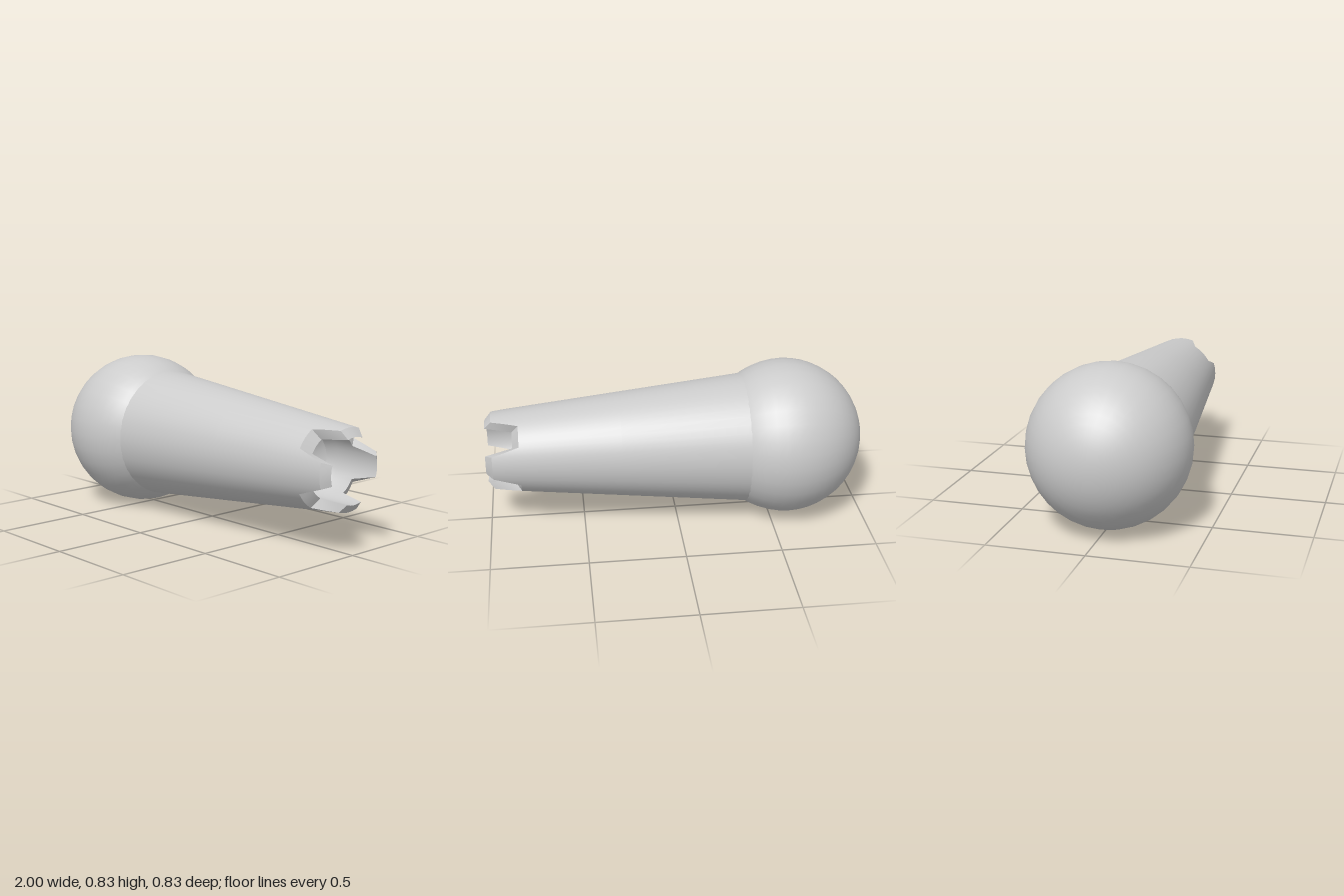
import * as THREE from 'three';
import { toCreasedNormals } from 'three/addons/utils/BufferGeometryUtils.js';

const AXIS_Y = 0.413;      // height of the long axis
const BALL_R = 0.413;
const BALL_X = -0.587;
const BORE_R = 0.165;

// Outer radius of the tapered shaft at x
const shaftRadius = (x) => THREE.MathUtils.mapLinear(x, -0.36, 0.96, 0.343, 0.208);

// End of the shaft around the rim: four tapering teeth with notches between
function rimX(deg) {
  const fromTooth = Math.abs(((deg + 45) % 90) - 45);
  const t = THREE.MathUtils.clamp((fromTooth - 18) / 12, 0, 1);
  return THREE.MathUtils.lerp(1.0, 0.86, t);
}

// Cross-section rows from the ball, over the bevelled rim, into the bore
function profile(deg) {
  const rim = rimX(deg);
  const edge = rim - 0.035;
  return [
    [-0.38, shaftRadius(-0.36)],
    [-0.36, shaftRadius(-0.36)],
    [0.3, shaftRadius(0.3)],
    [edge, shaftRadius(edge)],
    [rim, BORE_R],
    [0.75, BORE_R],
    [0.69, 0.145],
    [0.65, 0.09],
    [0.635, 0],
  ];
}

function shaftGeometry() {
  const quarter = [-18, -9, 0, 9, 18, 24, 30, 37.5, 45, 52.5, 60, 66];
  const angles = [0, 90, 180, 270].flatMap((q) => quarter.map((a) => (q + a + 360) % 360));
  const n = angles.length;
  const positions = [];
  const index = [];
  const columns = angles.map(profile);
  const rows = columns[0].length;

  for (let i = 0; i < rows; i++) {
    for (let j = 0; j < n; j++) {
      const [x, r] = columns[j][i];
      const a = THREE.MathUtils.degToRad(angles[j]);
      positions.push(x, r * Math.cos(a), r * Math.sin(a));
    }
  }
  for (let i = 0; i < rows - 1; i++) {
    for (let j = 0; j < n; j++) {
      const k = (j + 1) % n;
      const a = i * n + j, b = i * n + k, c = a + n, d = b + n;
      index.push(a, b, c);
      if (i < rows - 2) index.push(b, d, c);
    }
  }
  const geometry = new THREE.BufferGeometry();
  geometry.setAttribute('position', new THREE.Float32BufferAttribute(positions, 3));
  geometry.setIndex(index);
  return toCreasedNormals(geometry, THREE.MathUtils.degToRad(35));
}

export function createModel() {
  const group = new THREE.Group();
  group.name = 'ballEndedSocket';
  const material = new THREE.MeshStandardMaterial({ color: 0xcccccc });

  // Round end, poles along the long axis
  const ball = new THREE.Mesh(new THREE.SphereGeometry(BALL_R, 32, 24), material);
  ball.name = 'ball';
  ball.rotation.z = Math.PI / 2;
  ball.position.set(BALL_X, AXIS_Y, 0);

  // Tapered shaft with toothed, hollow tip
  const shaft = new THREE.Mesh(shaftGeometry(), material);
  shaft.name = 'toothedShaft';
  shaft.position.y = AXIS_Y;

  group.add(ball, shaft);
  return group;
}
